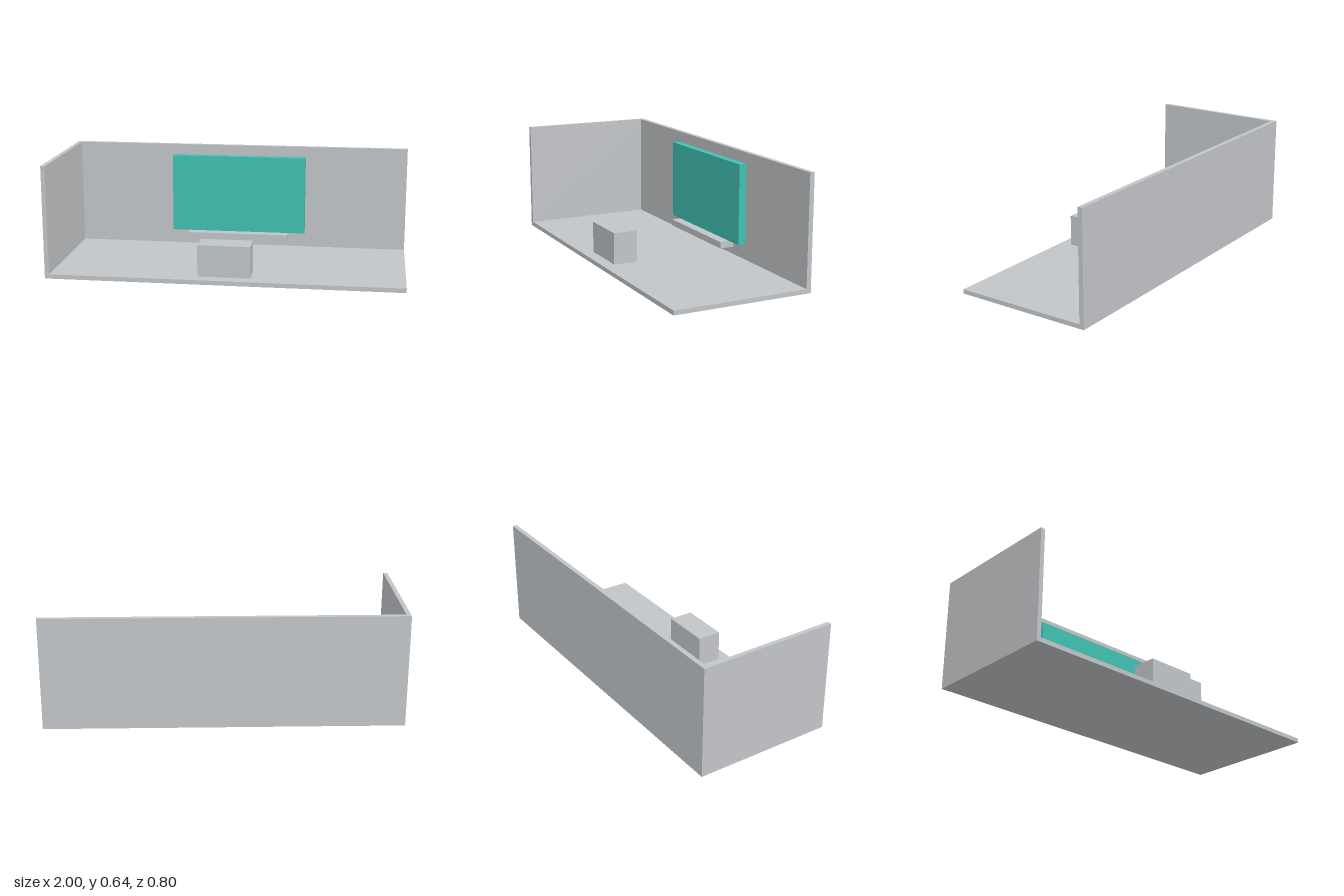
import * as THREE from 'three';

export function createModel() {
  const group = new THREE.Group();
  const grey = new THREE.MeshStandardMaterial({ color: 0xc2c5c8 });
  grey.name = 'light grey';
  const teal = new THREE.MeshStandardMaterial({ color: 0x40c1b3 });
  teal.name = 'teal';

  // Box given by its lower and upper limits on each axis
  function addBox(name, material, [x0, x1], [y0, y1], [z0, z1]) {
    const mesh = new THREE.Mesh(new THREE.BoxGeometry(x1 - x0, y1 - y0, z1 - z0), material);
    mesh.position.set((x0 + x1) / 2, (y0 + y1) / 2, (z0 + z1) / 2);
    mesh.name = name;
    group.add(mesh);
  }

  const t = 0.025, top = 0.64, depth = 0.4; // shell thickness, height, half depth

  // Room shell: floor, back wall and one side wall
  addBox('floor', grey, [-1, 1], [0, t], [-depth, depth]);
  addBox('backWall', grey, [-1, 1], [t, top], [-depth, -depth + 0.027]);
  addBox('sideWall', grey, [-1, -1 + t], [t, top], [-depth + 0.027, depth]);

  // Wall screen with its mounting plate and the shelf below
  addBox('screen', teal, [-0.4, 0.4], [0.12, 0.58], [-0.362, -0.317]);
  addBox('screenMount', grey, [-0.33, 0.33], [0.23, 0.515], [-0.365, -0.362]);
  addBox('shelf', grey, [-0.298, 0.298], [0.083, 0.12], [-0.347, -0.26]);

  // Free-standing block on the floor
  addBox('table', grey, [-0.147, 0.147], [t, 0.205], [0.192, 0.332]);

  return group;
}
